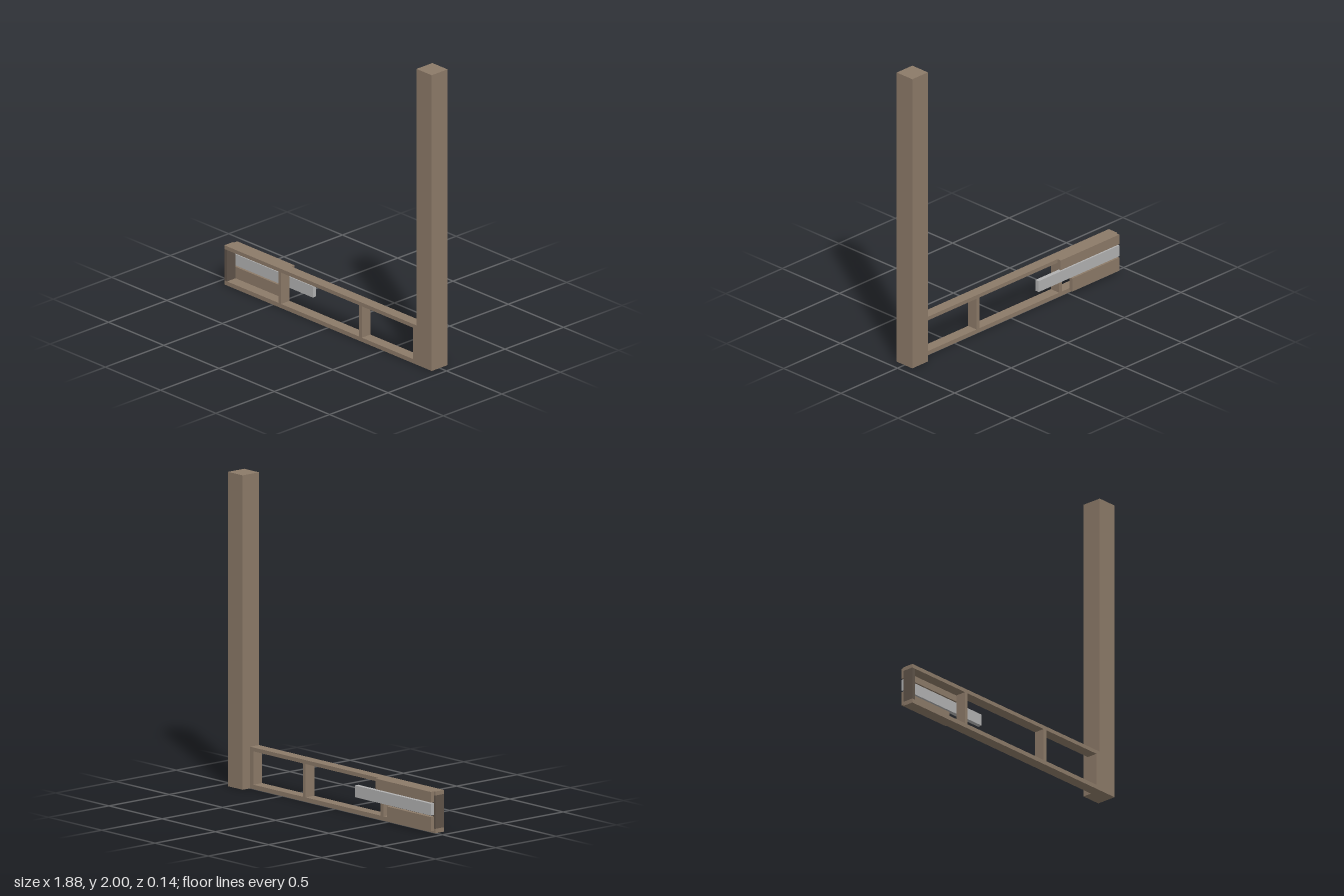
import * as THREE from 'three';

export function createModel() {
  const model = new THREE.Group();
  const wood = new THREE.MeshStandardMaterial({ color: 0x8c7a68 });
  wood.name = 'brown wood';
  const darkWood = new THREE.MeshStandardMaterial({ color: 0x5f5349 });
  darkWood.name = 'dark wood';
  const metal = new THREE.MeshStandardMaterial({ color: 0xb2b2b2 });
  metal.name = 'grey metal';

  // Box given by its limits along each axis
  function block(name, material, [x0, x1], [y0, y1], [z0, z1]) {
    const mesh = new THREE.Mesh(new THREE.BoxGeometry(x1 - x0, y1 - y0, z1 - z0), material);
    mesh.position.set((x0 + x1) / 2, (y0 + y1) / 2, (z0 + z1) / 2);
    mesh.name = name;
    model.add(mesh);
  }

  const frameZ = [-0.005, 0.068];
  const backZ = [-0.033, -0.005];

  // Tall post
  block('post', wood, [0.8, 0.938], [0, 2], [-0.068, 0.068]);

  // Gate frame: two rails and the uprights between them
  block('bottomRail', wood, [-0.938, 0.8], [0, 0.028], frameZ);
  block('topRail', wood, [-0.938, 0.8], [0.24, 0.265], frameZ);
  for (const [x0, x1] of [[-0.45, -0.425], [0.28, 0.306], [0.77, 0.8]]) {
    block('upright', wood, [x0, x1], [0.028, 0.24], frameZ);
  }
  block('endUpright', darkWood, [-0.938, -0.914], [0.028, 0.24], frameZ);

  // Sliding bolt between two guide boards on the back
  block('upperGuide', wood, [-0.928, -0.41], [0.198, 0.265], backZ);
  block('lowerGuide', wood, [-0.928, -0.515], [0.015, 0.105], backZ);
  block('bolt', metal, [-0.928, -0.215], [0.115, 0.19], backZ);

  return model;
}
